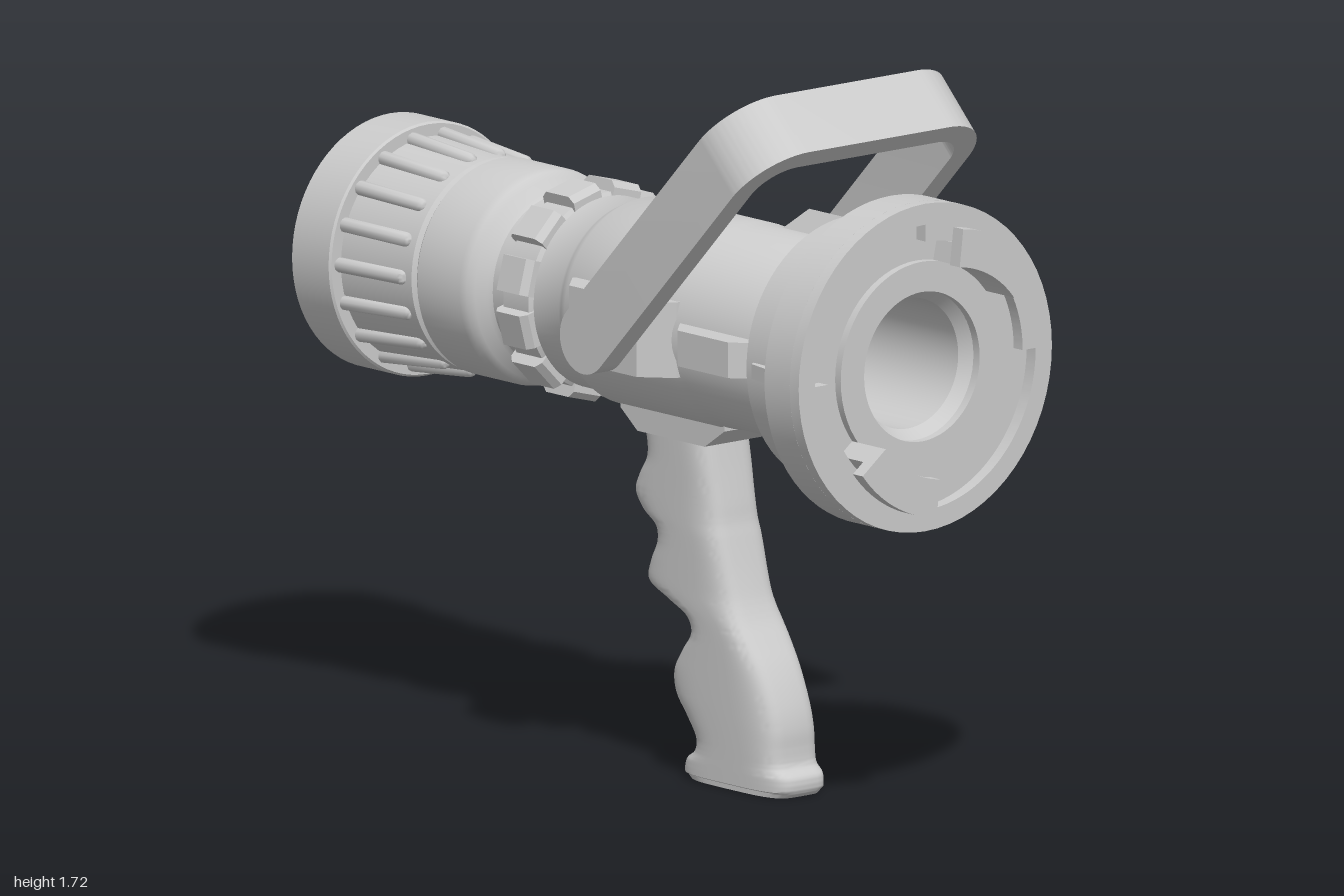
import * as THREE from 'three';
import { toCreasedNormals } from 'three/addons/utils/BufferGeometryUtils.js';

const AXIS_Y = 1.09;
const material = new THREE.MeshStandardMaterial({ color: 0xcccccc, side: THREE.DoubleSide });

function part(parent, name, geometry, crease = 0.6) {
  const mesh = new THREE.Mesh(toCreasedNormals(geometry, crease), material);
  mesh.name = name;
  parent.add(mesh);
  return mesh;
}

// Solid of revolution about x; profile is [x, radius]
function turned(parent, name, profile) {
  const g = new THREE.LatheGeometry(profile.map(([x, r]) => new THREE.Vector2(r, x)), 72);
  g.rotateZ(-Math.PI / 2);
  return part(parent, name, g);
}

// Radial block with sloping ends: [x, radius] outline, turned by angle a about x
function radialBlock(parent, name, outline, width, a) {
  const shape = new THREE.Shape(outline.map(([x, r]) => new THREE.Vector2(x, r)));
  const g = new THREE.ExtrudeGeometry(shape, { depth: width, bevelEnabled: false });
  g.translate(0, 0, -width / 2);
  g.rotateX(a);
  return part(parent, name, g, 0.3);
}

// Plate lying across the barrel, from x0 to x1
function plate(parent, name, shape, x0, x1) {
  const g = new THREE.ExtrudeGeometry(shape, { depth: x1 - x0, bevelEnabled: false, curveSegments: 32 });
  g.rotateY(Math.PI / 2);
  g.translate(x0, 0, 0);
  return part(parent, name, g, 0.4);
}

function arcShape(r0, r1, a0, a1) {
  const s = new THREE.Shape();
  s.absarc(0, 0, r1, a0, a1, false);
  s.absarc(0, 0, r0, a1, a0, true);
  return s;
}

function screwCross(parent, x) {
  for (const [h, d] of [[0.06, 0.016], [0.016, 0.06]]) {
    const g = new THREE.BoxGeometry(0.012, h, d);
    g.translate(x, 0, 0);
    part(parent, 'screwCross', g);
  }
}

function addTip(barrel) {
  turned(barrel, 'sprayTip', [
    [-0.84, 0], [-0.84, 0.13], [-0.98, 0.24], [-1, 0.25], [-1, 0.297], [-0.995, 0.302],
    [-0.865, 0.302], [-0.86, 0.297], [-0.86, 0.268], [-0.625, 0.254], [-0.615, 0.24], [-0.6, 0.24]]);
  turned(barrel, 'baffle', [
    [-0.96, 0], [-0.96, 0.04], [-0.945, 0.045], [-0.945, 0.075], [-0.96, 0.08],
    [-0.96, 0.105], [-0.94, 0.115], [-0.9, 0.06], [-0.84, 0.06]]);
  screwCross(barrel, -0.96);
  // Grip ridges
  const count = 18;
  for (let i = 0; i < count; i++) {
    const g = new THREE.CapsuleGeometry(0.018, 0.2, 4, 10);
    g.rotateZ(-Math.PI / 2 - 0.09);
    g.translate(-0.76, 0.262, 0);
    g.rotateX(((i + 0.5) / count) * Math.PI * 2);
    part(barrel, 'gripRidge', g, 1);
  }
}

function addBody(barrel) {
  turned(barrel, 'sleeve', [
    [-0.61, 0.2], [-0.61, 0.25], [-0.6, 0.258], [-0.45, 0.258], [-0.43, 0.253], [-0.415, 0.24],
    [-0.4, 0.215], [-0.39, 0.207], [-0.33, 0.207], [-0.32, 0.235], [-0.23, 0.235], [-0.22, 0.22]]);
  // Lugs around the adjusting ring
  for (let i = 0; i < 12; i++) {
    radialBlock(barrel, 'ringLug', [[-0.33, 0.2], [-0.22, 0.2], [-0.22, 0.243],
      [-0.235, 0.258], [-0.315, 0.258], [-0.33, 0.243]], 0.085, ((i + 0.5) / 12) * Math.PI * 2);
  }
  turned(barrel, 'body', [
    [-0.23, 0.2], [-0.22, 0.228], [-0.13, 0.228], [-0.115, 0.235], [-0.09, 0.246], [0.29, 0.246],
    [0.31, 0.24], [0.59, 0.24], [0.62, 0.228]]);
  // Pivot bosses on both sides and the mount under the body
  for (const a of [Math.PI / 2, -Math.PI / 2, Math.PI]) {
    const top = a === Math.PI ? 0.285 : 0.3;
    radialBlock(barrel, a === Math.PI ? 'gripMount' : 'pivotBoss', [[-0.07, 0.15], [0.3, 0.15],
      [0.3, 0.238], [0.23, top], [-0.01, top], [-0.07, 0.238]], 0.18, a);
  }
  // Three rear lugs
  for (let i = 0; i < 3; i++) {
    radialBlock(barrel, 'bodyLug', [[0.31, 0.2], [0.61, 0.2], [0.61, 0.24], [0.55, 0.295],
      [0.37, 0.295], [0.31, 0.235]], 0.085, Math.PI / 2 + (i * Math.PI * 2) / 3);
  }
}

function addCoupling(barrel) {
  turned(barrel, 'coupling', [
    [0.6, 0.228], [0.63, 0.235], [0.635, 0.31], [0.645, 0.32], [0.79, 0.328], [0.79, 0.39],
    [0.88, 0.39], [0.88, 0.18], [0.85, 0.155], [0.05, 0.155], [0.05, 0]]);
  for (let i = 0; i < 4; i++) {
    radialBlock(barrel, 'couplingRib', [[0.66, 0.3], [0.8, 0.3], [0.8, 0.358], [0.68, 0.335]],
      0.035, (i * Math.PI) / 2);
  }
  // Face ring with two quarter-turn slots
  const face = new THREE.Shape().absarc(0, 0, 0.39, 0, Math.PI * 2, false);
  const hole = new THREE.Path();
  for (let i = 0; i < 4; i++) {
    hole.absarc(0, 0, i % 2 ? 0.34 : 0.3, (i * Math.PI) / 2, ((i + 1) * Math.PI) / 2, false);
  }
  face.holes.push(hole);
  plate(barrel, 'couplingFace', face, 0.88, 0.912);
  plate(barrel, 'innerSeat', arcShape(0.178, 0.25, 0, Math.PI * 2), 0.87, 0.9);
  // Hooked locking claws
  for (const turn of [0, Math.PI]) {
    plate(barrel, 'clawStem', arcShape(0.25, 0.3, turn + 0.66, turn + 1.36), 0.87, 0.972);
    plate(barrel, 'clawHook', arcShape(0.25, 0.34, turn + 0.66, turn + 1.45), 0.965, 1);
  }
  // Valve stem inside the bore
  turned(barrel, 'valveStem', [[0.05, 0.1], [0.15, 0.1], [0.16, 0.087], [0.22, 0.087],
    [0.23, 0.07], [0.25, 0.07], [0.25, 0.04], [0.24, 0]]);
  screwCross(barrel, 0.25);
}

// U-shaped bail handle, drawn flat and tilted back
function addBail(model) {
  const bail = new THREE.Group();
  bail.name = 'bailHandle';
  const L = 0.82, W = 0.365, T = 0.06, R = 0.15, w = 0.166, r = R - T;
  const s = new THREE.Shape();
  s.moveTo(W, 0);
  s.lineTo(W, L - R);
  s.absarc(W - R, L - R, R, 0, Math.PI / 2, false);
  s.absarc(R - W, L - R, R, Math.PI / 2, Math.PI, false);
  s.lineTo(-W, 0);
  s.lineTo(T - W, 0);
  s.absarc(R - W, L - R, r, Math.PI, Math.PI / 2, true);
  s.absarc(W - R, L - R, r, Math.PI / 2, 0, true);
  s.lineTo(W - T, 0);
  const g = new THREE.ExtrudeGeometry(s, { depth: w, bevelEnabled: false, curveSegments: 16 });
  g.translate(0, 0, -w / 2);
  part(bail, 'bailBar', g);
  for (const side of [1, -1]) {
    const end = new THREE.CylinderGeometry(w / 2, w / 2, T, 40);
    end.rotateZ(Math.PI / 2);
    end.translate(side * (W - T / 2), 0, 0);
    part(bail, 'bailPivotEnd', end);
    const pin = new THREE.CylinderGeometry(0.05, 0.05, 0.06, 32);
    pin.rotateZ(Math.PI / 2);
    pin.translate(side * 0.3, 0, 0);
    part(bail, 'bailPin', pin);
  }
  const tilt = THREE.MathUtils.degToRad(45.5), c = Math.cos(tilt), n = Math.sin(tilt);
  bail.applyMatrix4(new THREE.Matrix4().makeBasis(new THREE.Vector3(0, 0, 1),
    new THREE.Vector3(c, n, 0), new THREE.Vector3(-n, c, 0)).setPosition(0.115, 1.08, 0));
  model.add(bail);
}

// Pistol grip lofted from rounded sections: [y, finger side x, palm side x]
function addGrip(model) {
  const rows = [[0, 0.135, 0.475], [0.015, 0.117, 0.488], [0.045, 0.123, 0.487], [0.07, 0.155, 0.46],
    [0.1, 0.16, 0.455], [0.15, 0.125, 0.453], [0.2, 0.085, 0.442], [0.25, 0.08, 0.422],
    [0.3, 0.11, 0.395], [0.35, 0.147, 0.36], [0.385, 0.135, 0.335], [0.42, 0.06, 0.315],
    [0.455, -0.01, 0.3], [0.5, 0, 0.285], [0.55, 0.025, 0.27], [0.585, 0.02, 0.26],
    [0.62, -0.03, 0.25], [0.66, -0.056, 0.243], [0.7, -0.04, 0.235], [0.75, -0.01, 0.225], [0.83, -0.02, 0.21]];
  const curve = new THREE.CatmullRomCurve3(rows.map(([y, a, b]) => new THREE.Vector3(a, y, b)));
  const N = 48, M = 100, pos = [], idx = [];
  const power = (v, e) => Math.sign(v) * Math.abs(v) ** e;
  for (let j = 0; j <= M; j++) {
    const p = curve.getPoint(j / M);
    const mid = (p.x + p.z) / 2, half = (p.z - p.x) / 2;
    const depth = p.y < 0.015 ? 0.08 : 0.088;
    for (let i = 0; i < N; i++) {
      const a = (i / N) * Math.PI * 2;
      pos.push(mid + half * power(Math.cos(a), 0.55), p.y, depth * power(Math.sin(a), 0.45));
      if (j < M) {
        const k = j * N + i, m = j * N + ((i + 1) % N);
        idx.push(k, k + N, m, m, k + N, m + N);
      }
    }
  }
  // Flat base
  const base = pos.length / 3;
  pos.push(0.305, 0, 0);
  for (let i = 0; i < N; i++) idx.push(base, i, (i + 1) % N);
  const g = new THREE.BufferGeometry();
  g.setAttribute('position', new THREE.Float32BufferAttribute(pos, 3));
  g.setIndex(idx);
  part(model, 'pistolGrip', g, 0.9);
}

export function createModel() {
  const model = new THREE.Group();
  model.name = 'hoseNozzle';
  const barrel = new THREE.Group();
  barrel.name = 'barrel';
  barrel.position.y = AXIS_Y;
  model.add(barrel);
  addTip(barrel);
  addBody(barrel);
  addCoupling(barrel);
  addBail(model);
  addGrip(model);
  return model;
}
